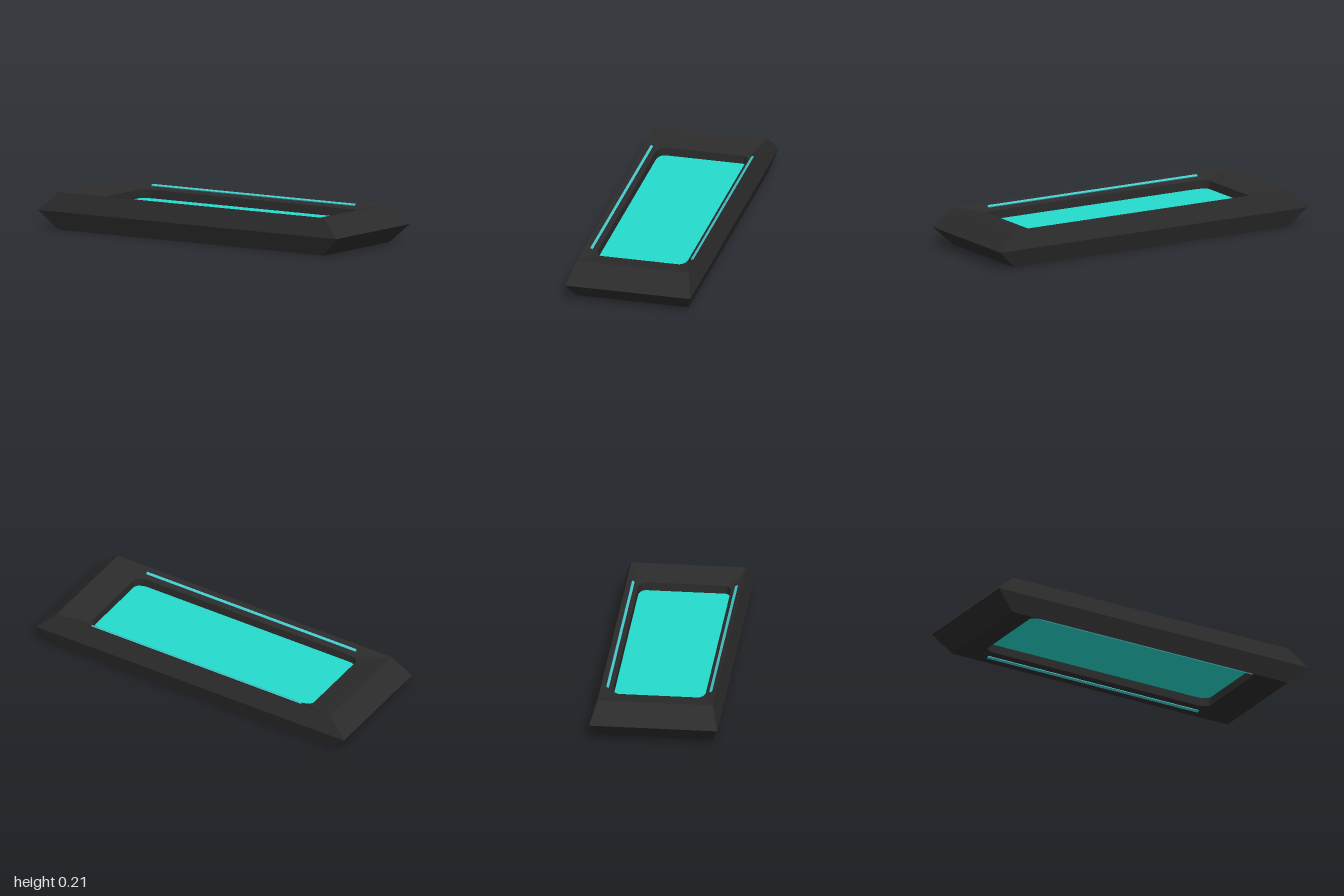
import * as THREE from 'three';

const MID = 0.105; // the model mirrors about this height
const HOLE = [0.72, 0.257, 0.07, 0.04]; // half width, half depth, corner radii

// Rectangle with elliptical corners, as [x, z] points
function roundedRect(hx, hz, rx, rz, steps = 8) {
  const pts = [];
  const signs = [[1, 1], [-1, 1], [-1, -1], [1, -1]];
  signs.forEach(([sx, sz], q) => {
    for (let i = 0; i <= steps; i++) {
      const a = (q + i / steps) * Math.PI / 2;
      pts.push([sx * (hx - rx) + rx * Math.cos(a), sz * (hz - rz) + rz * Math.sin(a)]);
    }
  });
  return pts;
}

// Closed ring surface through cross-sections [hx, hz, rx, rz, y]
function loftRing(sections) {
  const rings = sections.map(([hx, hz, rx, rz, y]) =>
    roundedRect(hx, hz, rx, rz).map(([x, z]) => new THREE.Vector3(x, y, z)));
  const pos = [];
  const tri = (a, b, c) => {
    const area = b.clone().sub(a).cross(c.clone().sub(a)).length();
    if (area > 1e-9) for (const p of [a, b, c]) pos.push(p.x, p.y, p.z);
  };
  rings.forEach((lower, j) => {
    const upper = rings[(j + 1) % rings.length];
    lower.forEach((a, i) => {
      const k = (i + 1) % lower.length;
      tri(a, upper[i], lower[k]);
      tri(lower[k], upper[i], upper[k]);
    });
  });
  const geo = new THREE.BufferGeometry();
  geo.setAttribute('position', new THREE.Float32BufferAttribute(pos, 3));
  geo.computeVertexNormals();
  return geo;
}

export function createModel() {
  const model = new THREE.Group();
  const add = (name, geo, mat) => {
    const mesh = new THREE.Mesh(geo, mat);
    mesh.name = name;
    model.add(mesh);
    return mesh;
  };
  const dark = new THREE.MeshStandardMaterial({ color: 0x2b2b2b, flatShading: true });
  const glow = new THREE.MeshStandardMaterial({ color: 0x24dccd });
  const trim = new THREE.MeshStandardMaterial({ color: 0x45c8cc });

  // Bevelled frame: pointed outer edge, raised rims, dished faces, through hole
  add('frame', loftRing([
    [0.89, 0.32, 0, 0, 0],
    [1, 0.356, 0, 0, MID],
    [0.89, 0.32, 0, 0, 0.21],
    [...HOLE, 0.173],
    [...HOLE, 0.037],
  ]), dark);

  // Panel set inside the hole, seen from above and below
  const outline = new THREE.Shape(roundedRect(...HOLE).map(([x, z]) => new THREE.Vector2(x, z)));
  const panel = new THREE.ExtrudeGeometry(outline, { depth: 0.04, bevelEnabled: false });
  panel.rotateX(-Math.PI / 2).translate(0, MID - 0.02, 0);
  add('panel', panel, glow);

  // Thin light strips lying on the long dished slopes
  for (const side of [1, -1]) {
    for (const face of [1, -1]) {
      const strip = add('lightStrip', new THREE.BoxGeometry(1.36, 0.008, 0.015), trim);
      strip.position.set(0, MID + face * 0.088, side * 0.287);
      strip.rotation.x = -side * face * 0.53;
    }
  }
  return model;
}
